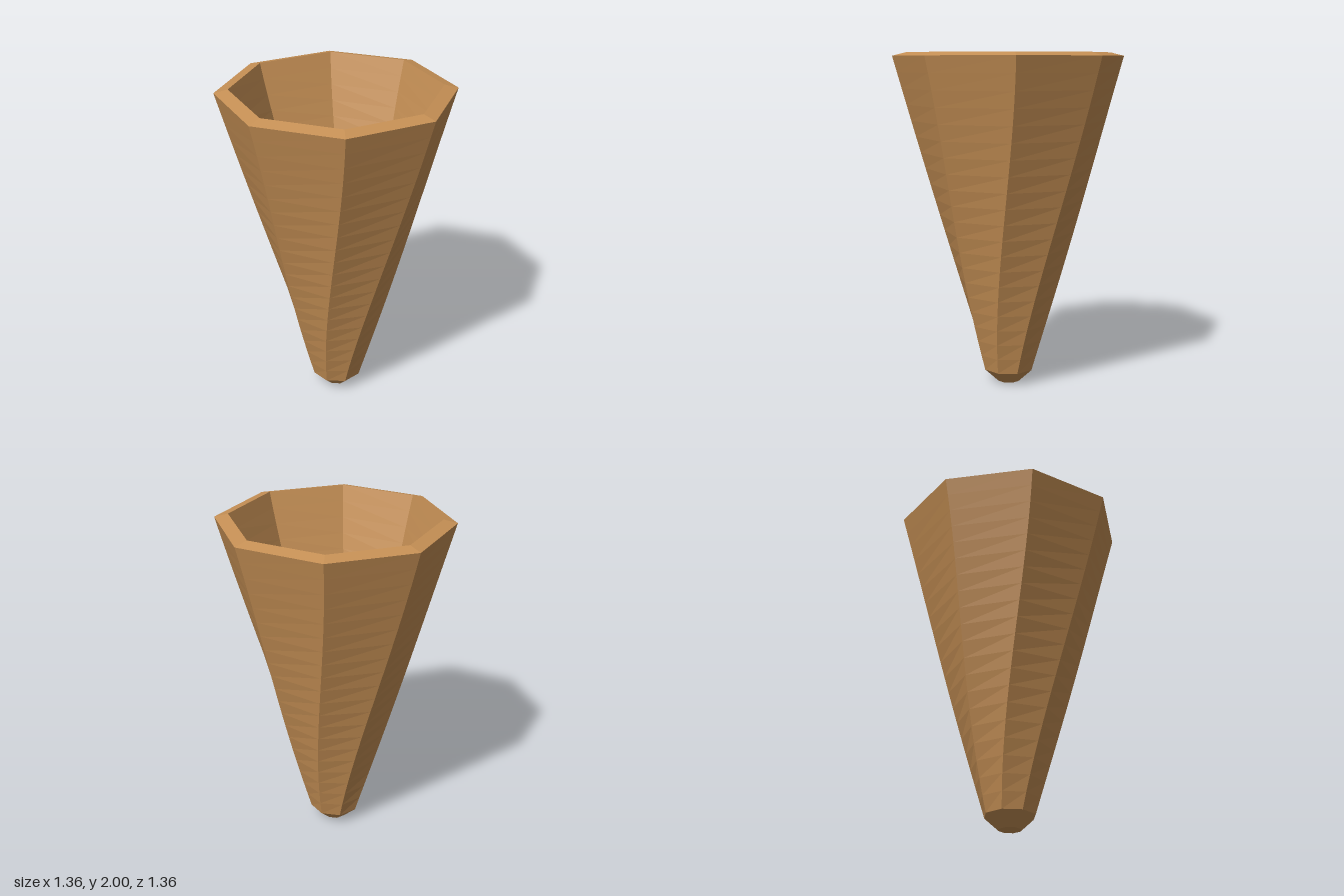
import * as THREE from 'three';

const SIDES = 8, ROWS = 20;
const BOTTOM = -20, TWIST = 28.4; // degrees, measured from +z towards +x

const material = new THREE.MeshStandardMaterial({ color: 0xc69055, flatShading: true });

// Skins a stack of octagonal rings { r, y, a }; flip swaps the quad diagonal.
function skin(name, rings, flip = false) {
  const pos = [];
  const point = (ring, j) => {
    const a = THREE.MathUtils.degToRad(ring.a + (j * 360) / SIDES);
    return [ring.r * Math.sin(a), ring.y, ring.r * Math.cos(a)];
  };
  for (let i = 0; i + 1 < rings.length; i++) {
    for (let j = 0; j < SIDES; j++) {
      const a = point(rings[i], j), b = point(rings[i], j + 1);
      const c = point(rings[i + 1], j), d = point(rings[i + 1], j + 1);
      if (rings[i].r === 0) pos.push(...a, ...d, ...c);
      else if (rings[i + 1].r === 0) pos.push(...a, ...b, ...c);
      else if (flip) pos.push(...a, ...b, ...c, ...b, ...d, ...c);
      else pos.push(...a, ...b, ...d, ...a, ...d, ...c);
    }
  }
  const geometry = new THREE.BufferGeometry();
  geometry.setAttribute('position', new THREE.Float32BufferAttribute(pos, 3));
  geometry.computeVertexNormals();
  const mesh = new THREE.Mesh(geometry, material);
  mesh.name = name;
  return mesh;
}

// Tapered wall whose twist eases out towards the rim.
function wallRings(r0, y0, r1, y1) {
  return Array.from({ length: ROWS + 1 }, (_, i) => {
    const t = i / ROWS;
    return {
      r: THREE.MathUtils.lerp(r0, r1, t),
      y: THREE.MathUtils.lerp(y0, y1, t),
      a: BOTTOM + TWIST * (2 * t - t * t),
    };
  });
}

export function createModel() {
  const group = new THREE.Group();
  group.name = 'twistedCone';
  const outer = wallRings(0.153, 0.08, 0.685, 1.98);
  const inner = wallRings(0.08, 0.125, 0.605, 2).reverse();

  group.add(
    // blunt tip with its flat underside
    skin('tip', [
      { r: 0, y: 0, a: BOTTOM },
      { r: 0.067, y: 0, a: BOTTOM },
      outer[0],
    ]),
    skin('outerWall', outer),
    // sloping rim joining both walls
    skin('rim', [outer[ROWS], inner[0]]),
    skin('innerWall', inner, true),
    // small funnel floor
    skin('floor', [
      inner[ROWS],
      { r: 0.033, y: 0.083, a: BOTTOM },
      { r: 0, y: 0.083, a: BOTTOM },
    ]),
  );
  return group;
}
